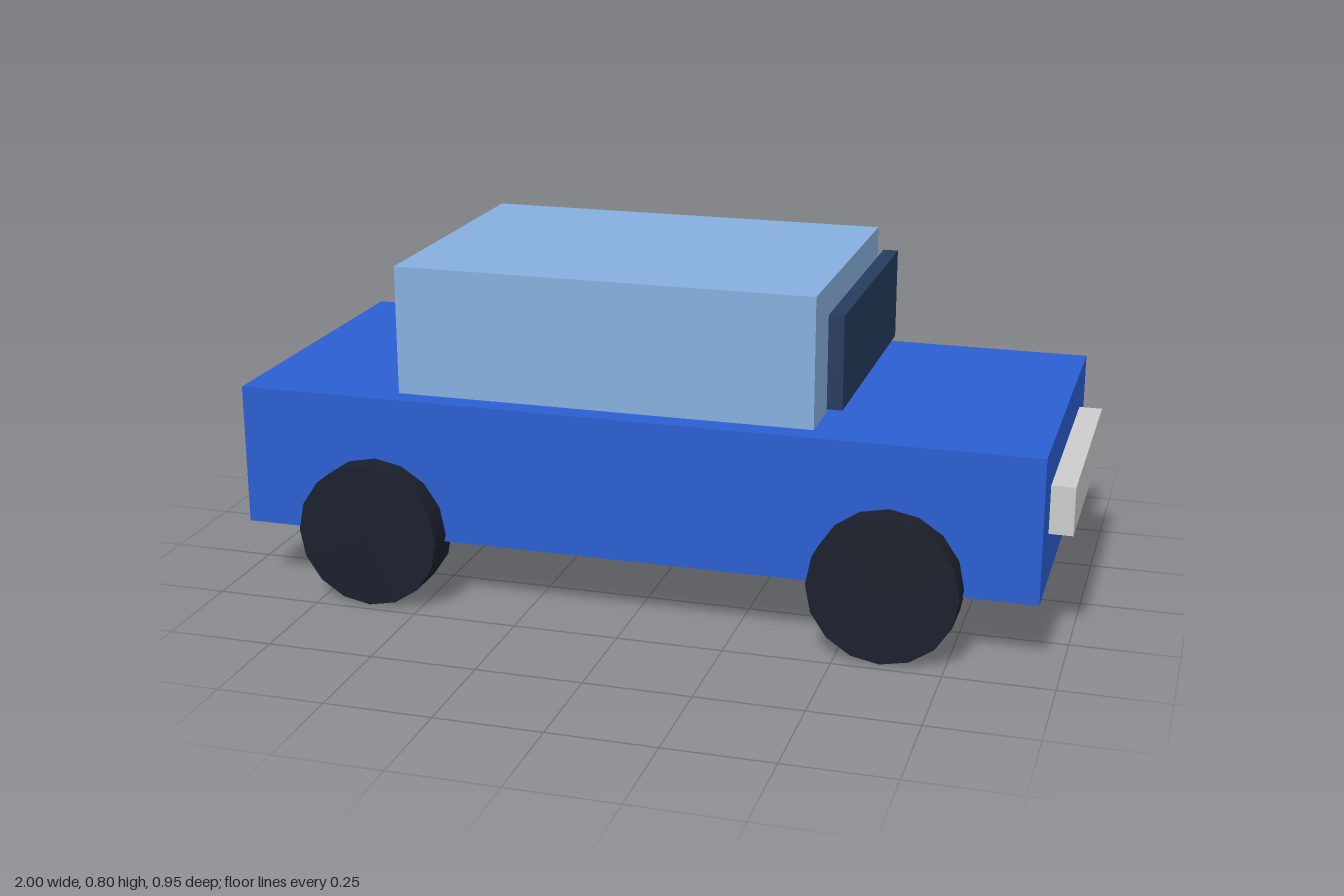
import * as THREE from 'three';

const paint = (color) => new THREE.MeshStandardMaterial({ color });

// Box given by its extents in x and y, and its half width in z
function box(name, color, [x0, x1], [y0, y1], halfZ) {
  const mesh = new THREE.Mesh(new THREE.BoxGeometry(x1 - x0, y1 - y0, halfZ * 2), paint(color));
  mesh.position.set((x0 + x1) / 2, (y0 + y1) / 2, 0);
  mesh.name = name;
  return mesh;
}

export function createModel() {
  const car = new THREE.Group();
  car.name = 'car';

  // Body and cabin; the nose points along +x
  car.add(
    box('body', 0x2a5ed0, [-0.96, 0.945], [0.155, 0.495], 0.41),
    box('cabin', 0x86afde, [-0.58, 0.42], [0.495, 0.802], 0.355),
    box('windshield', 0x263b5c, [0.441, 0.477], [0.535, 0.754], 0.32),
    box('headlightBar', 0xd9d9d9, [0.945, 1.0], [0.282, 0.396], 0.297),
    box('tailLightBar', 0xd04444, [-1.0, -0.96], [0.285, 0.38], 0.287)
  );

  // Four wheels with their axles along z
  const wheelGeometry = new THREE.CylinderGeometry(0.173, 0.173, 0.108, 16).rotateX(Math.PI / 2);
  const rubber = paint(0x1a1f2b);
  for (const [end, x] of [['front', 0.606], ['rear', -0.624]]) {
    for (const [side, z] of [['Right', 0.421], ['Left', -0.421]]) {
      const wheel = new THREE.Mesh(wheelGeometry, rubber);
      wheel.position.set(x, 0.173, z);
      wheel.name = `${end}${side}Wheel`;
      car.add(wheel);
    }
  }
  return car;
}
